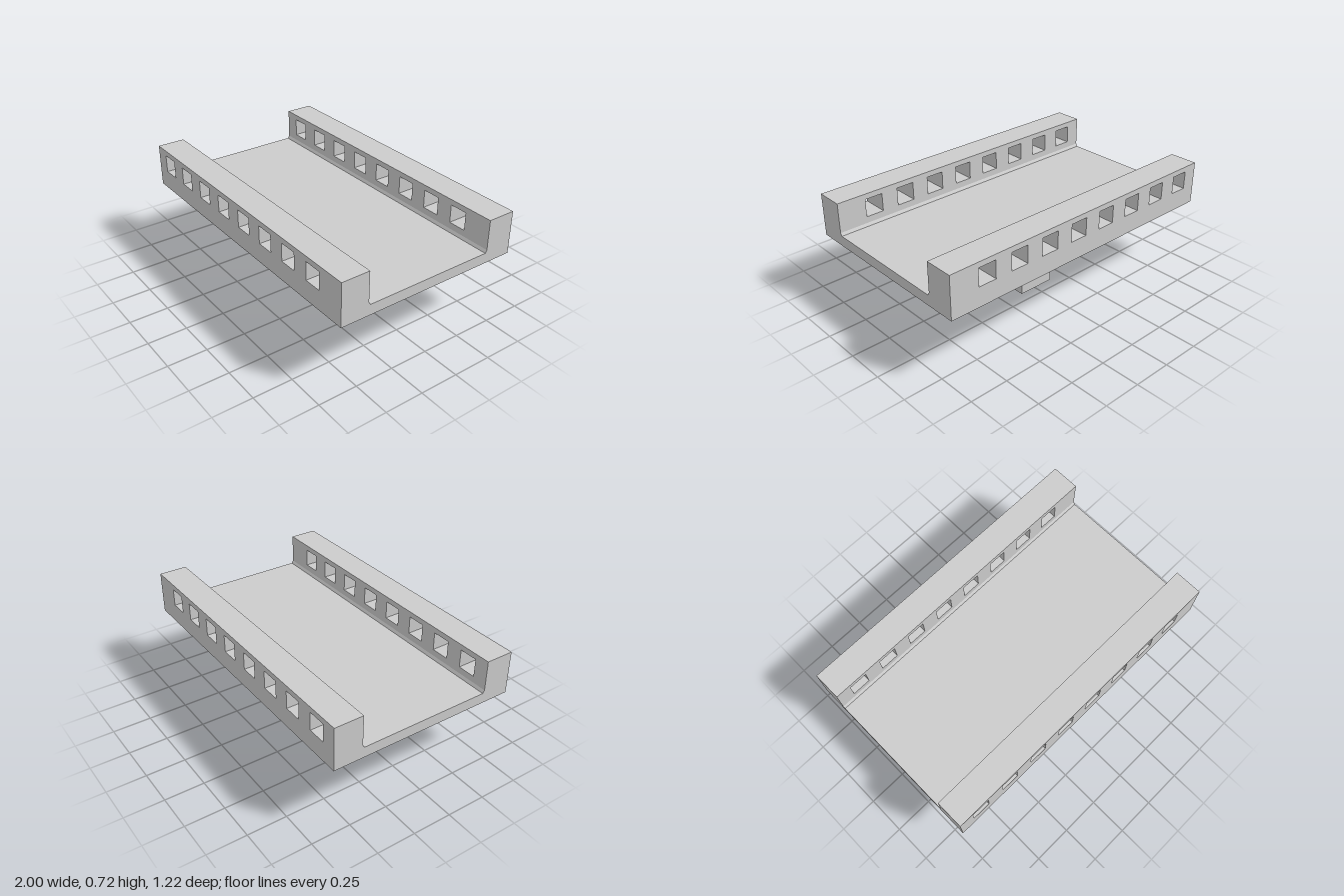
import * as THREE from 'three';

const material = new THREE.MeshStandardMaterial({ color: 0xcccccc, flatShading: true });

const BOTTOM = 0.441, TOP = 0.718, FLOOR = 0.508;
const WALL_FRONT = 0.431, WALL_BACK = -0.428;
const CHAMFER_Z = 0.011, CHAMFER_Y = 0.018;

function part(geometry, name) {
  const mesh = new THREE.Mesh(geometry, material);
  mesh.name = name;
  return mesh;
}

const polygon = (pts) => pts.map(([x, y]) => new THREE.Vector2(x, y));
const rect = (x0, x1, y0, y1) => polygon([[x0, y0], [x1, y0], [x1, y1], [x0, y1]]);

// Parapet wall pierced by a row of square openings
function parapet(z0, z1, name) {
  const shape = new THREE.Shape(rect(-1, 1, BOTTOM, TOP));
  for (let i = 0; i < 8; i++) {
    const x = -0.904 + i * 0.2284;
    shape.holes.push(new THREE.Path(rect(x, x + 0.118, 0.567, 0.683).reverse()));
  }
  const geometry = new THREE.ExtrudeGeometry(shape, { depth: z1 - z0, bevelEnabled: false });
  geometry.translate(0, 0, z0);
  return part(geometry, name);
}

// Road deck with small chamfers where it meets the parapets
function deck() {
  const l = -WALL_FRONT, r = -WALL_BACK;
  const shape = new THREE.Shape(polygon([
    [l, BOTTOM], [r, BOTTOM],
    [r, FLOOR + CHAMFER_Y], [r - CHAMFER_Z, FLOOR],
    [l + CHAMFER_Z, FLOOR], [l, FLOOR + CHAMFER_Y],
  ]));
  const geometry = new THREE.ExtrudeGeometry(shape, { depth: 2, bevelEnabled: false });
  geometry.rotateY(Math.PI / 2).translate(-1, 0, 0);
  return part(geometry, 'deck');
}

// Pier: rectangular shaft flaring out to a wider cap, one box ring per level
function pier() {
  const shaft = { x: [-0.138, 0.112], z: [-0.183, 0.164] };
  const cap = { x: [-0.213, 0.195], z: [-0.29, 0.275] };
  const levels = [
    { y: 0, ...shaft }, { y: 0.272, ...shaft },
    { y: 0.367, ...cap }, { y: BOTTOM, ...cap },
  ];
  const geometry = new THREE.BoxGeometry(1, 1, 1, 1, 3, 1).toNonIndexed();
  const p = geometry.attributes.position;
  for (let i = 0; i < p.count; i++) {
    const level = levels[Math.round((p.getY(i) + 0.5) * 3)];
    p.setXYZ(i, level.x[p.getX(i) > 0 ? 1 : 0], level.y, level.z[p.getZ(i) > 0 ? 1 : 0]);
  }
  geometry.computeVertexNormals();
  return part(geometry, 'pier');
}

export function createModel() {
  const model = new THREE.Group();
  model.name = 'bridgeSection';
  model.add(
    deck(),
    parapet(WALL_FRONT, 0.611, 'frontParapet'),
    parapet(-0.611, WALL_BACK, 'backParapet'),
    pier(),
  );
  return model;
}
